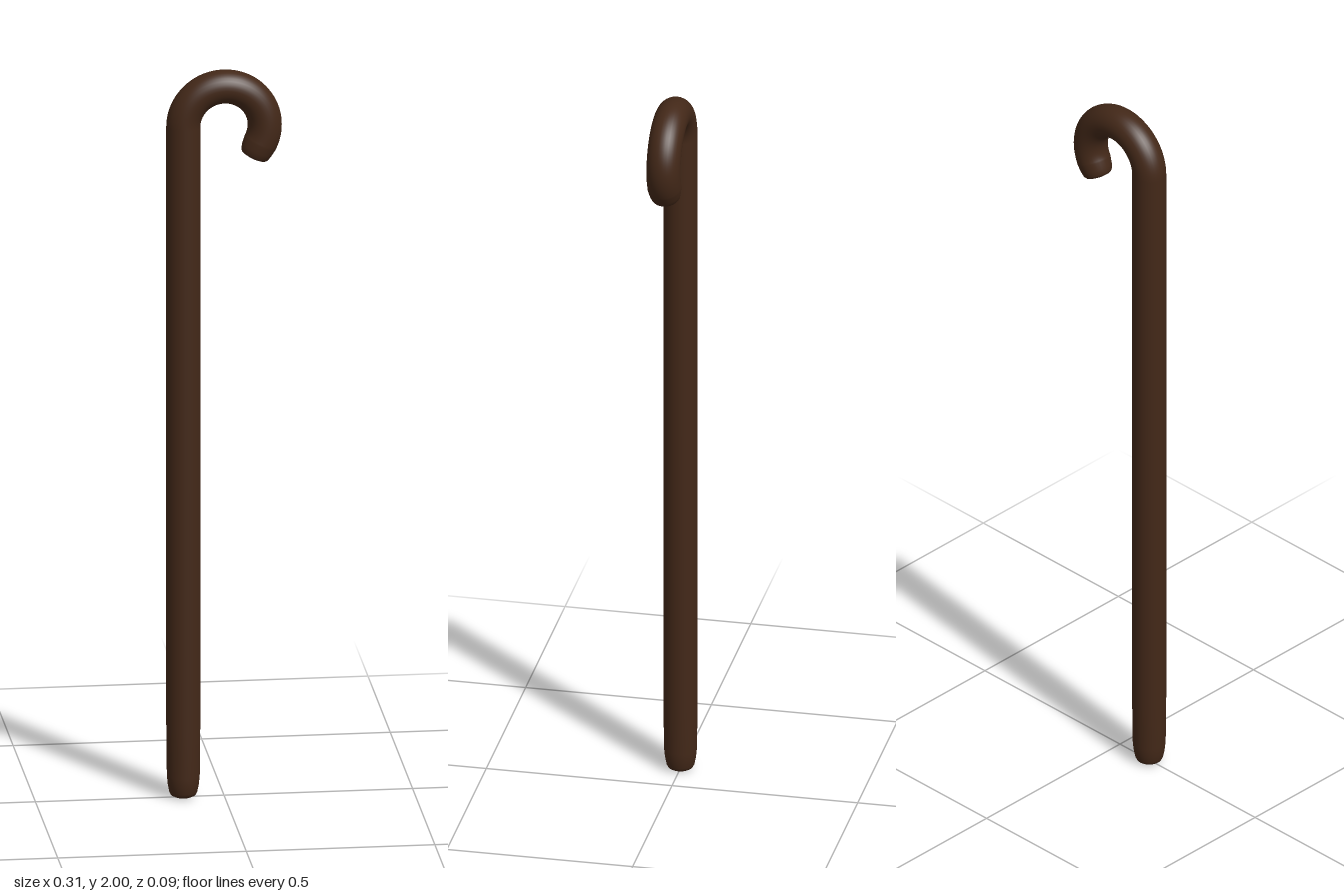
import * as THREE from 'three';

const R = 0.045;          // stick radius
const BEND = 0.108;       // radius of the crook's centre line
const BEND_Y = 1.847;     // height of the crook's centre
const END = -25 * Math.PI / 180; // angle where the bend straightens out
const SIDES = 32;

export function createModel() {
  const group = new THREE.Group();
  const wood = new THREE.MeshStandardMaterial({ color: 0x432818 });

  const add = (name, geometry) => {
    const mesh = new THREE.Mesh(geometry, wood);
    mesh.name = name;
    group.add(mesh);
    return mesh;
  };
  const lathe = (points) =>
    new THREE.LatheGeometry(points.map(([r, y]) => new THREE.Vector2(r, y)), SIDES);

  // straight shaft with a narrowed, softly rounded foot
  const shaft = add('shaft', lathe([
    [0, 0], [0.024, 0.002], [0.033, 0.007], [0.037, 0.015], [0.041, 0.035],
    [0.0435, 0.06], [R, 0.2], [R, 1], [R, BEND_Y],
  ]));
  shaft.position.x = -BEND;

  // curved crook
  const crook = add('crook', new THREE.TorusGeometry(BEND, R, SIDES, 64, Math.PI - END));
  crook.position.y = BEND_Y;
  crook.rotation.z = END;

  // slightly tapered tip, continuing the crook in a straight line
  const tip = add('crookTip', lathe([
    [0, -0.049], [0.024, -0.048], [0.034, -0.045], [0.039, -0.039],
    [0.0425, -0.025], [R, -0.005], [R, 0],
  ]));
  tip.position.set(BEND * Math.cos(END), BEND_Y + BEND * Math.sin(END), 0);
  tip.rotation.z = END;

  return group;
}
